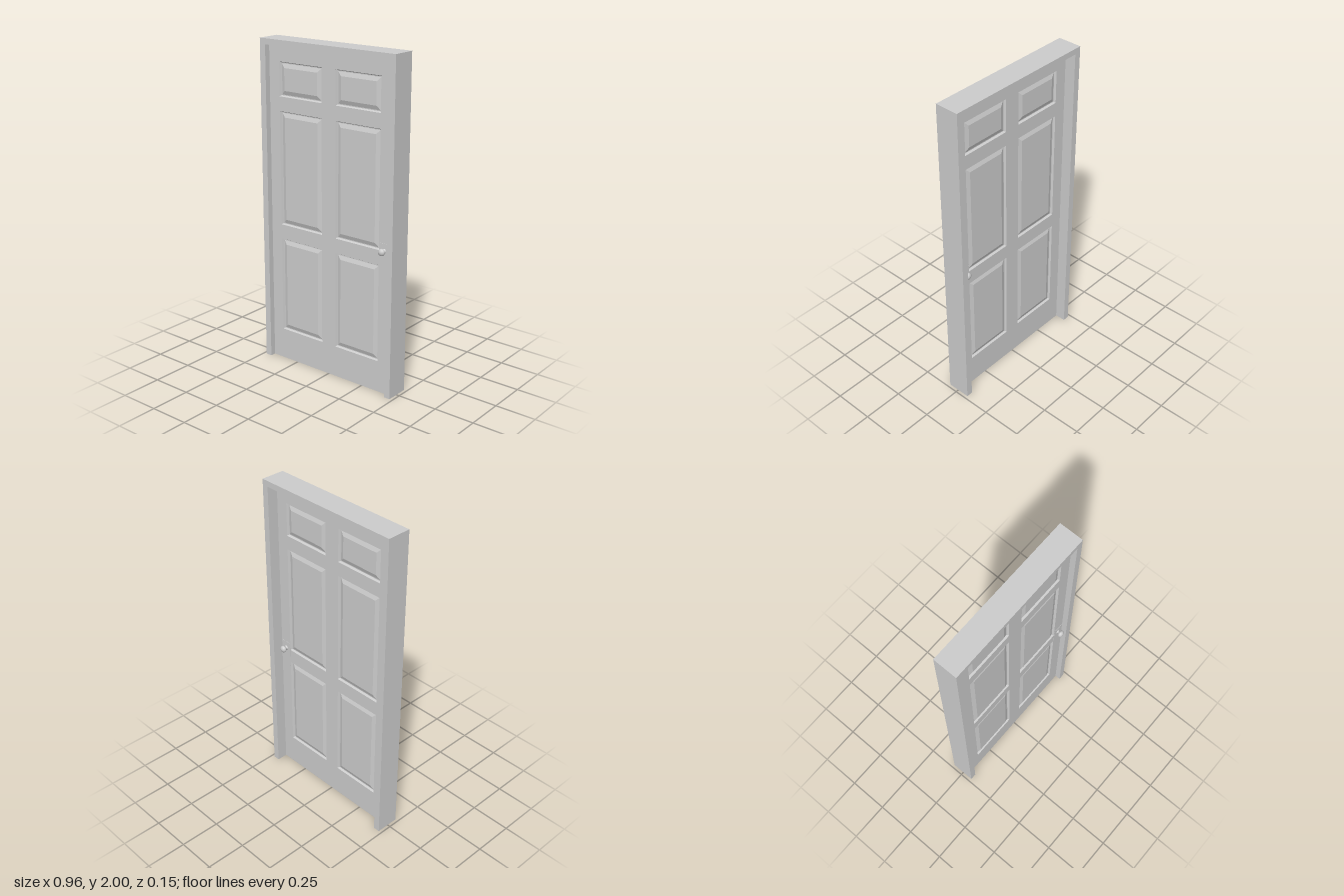
import * as THREE from 'three';

const material = new THREE.MeshStandardMaterial({ color: 0xcccccc });
const FRONT = 0.035, BACK = -0.01, MID = (FRONT + BACK) / 2, HALF = (FRONT - BACK) / 2;

function add(parent, name, geometry, x = 0, y = 0, z = 0) {
  const mesh = new THREE.Mesh(geometry, material);
  mesh.name = name;
  mesh.position.set(x, y, z);
  parent.add(mesh);
  return mesh;
}

const polygon = (pts) => pts.map(([x, y]) => new THREE.Vector2(x, y));

function extrude(shape, depth) {
  return new THREE.ExtrudeGeometry(shape, { depth, bevelEnabled: false });
}

// Raised panel: nested rectangles, each given as [inset, height], closed by a flat field
function raisedPanel(w, h) {
  const profile = [[0, 0], [0.006, -0.012], [0.011, -0.012], [0.035, -0.003]];
  const rings = profile.map(([inset, z]) => {
    const x = w / 2 - inset, y = h / 2 - inset;
    return [[-x, -y, z], [x, -y, z], [x, y, z], [-x, y, z]];
  });
  const pos = [];
  const quad = (a, b, c, d) => pos.push(...a, ...b, ...c, ...a, ...c, ...d);
  for (let r = 0; r < rings.length - 1; r++) {
    for (let i = 0; i < 4; i++) {
      const j = (i + 1) % 4;
      quad(rings[r][i], rings[r][j], rings[r + 1][j], rings[r + 1][i]);
    }
  }
  quad(...rings[rings.length - 1]);
  const geometry = new THREE.BufferGeometry();
  geometry.setAttribute('position', new THREE.Float32BufferAttribute(pos, 3));
  geometry.computeVertexNormals();
  return geometry;
}

// Round knob on a short neck, turned about its axis and pointing to +z
function knobGeometry() {
  const pts = [[0.015, 0], [0.015, 0.004], [0.009, 0.007], [0.009, 0.012], [0.016, 0.016],
    [0.021, 0.022], [0.0215, 0.027], [0.019, 0.034], [0.013, 0.039], [0.006, 0.0415], [0, 0.042]];
  return new THREE.LatheGeometry(polygon(pts), 28).rotateX(Math.PI / 2);
}

export function createModel() {
  const model = new THREE.Group();
  model.name = 'panelDoor';

  // Frame: two jambs and a head, open at the floor
  const frame = new THREE.Shape(polygon([
    [-0.48, 0], [-0.44, 0], [-0.44, 1.965], [0.44, 1.965],
    [0.44, 0], [0.48, 0], [0.48, 2], [-0.48, 2],
  ]));
  add(model, 'doorFrame', extrude(frame, 0.147), 0, 0, -0.077);

  // Six panel openings as [x, bottom, top]
  const panelWidth = 0.315, openings = [];
  for (const x of [-0.2075, 0.2075]) {
    for (const [y0, y1] of [[0.195, 0.793], [0.883, 1.58], [1.667, 1.87]]) openings.push([x, y0, y1]);
  }

  // Door slab with the openings cut out
  const slab = new THREE.Shape(polygon([[-0.44, 0], [0.44, 0], [0.44, 1.965], [-0.44, 1.965]]));
  for (const [x, y0, y1] of openings) {
    const a = x - panelWidth / 2, b = x + panelWidth / 2;
    slab.holes.push(new THREE.Path(polygon([[a, y0], [a, y1], [b, y1], [b, y0]])));
  }
  add(model, 'doorSlab', extrude(slab, HALF * 2), 0, 0, BACK);

  // Panels, lock plate and knob on both faces
  for (const side of [1, -1]) {
    const face = new THREE.Group();
    face.name = side > 0 ? 'frontFace' : 'backFace';
    face.position.z = MID;
    face.rotation.y = side > 0 ? 0 : Math.PI;
    model.add(face);
    for (const [x, y0, y1] of openings) {
      add(face, 'raisedPanel', raisedPanel(panelWidth, y1 - y0), x, (y0 + y1) / 2, HALF);
    }
    add(face, 'lockPlate', new THREE.BoxGeometry(0.066, 0.17, 0.004), side * 0.4, 0.845, HALF);
    add(face, 'knob', knobGeometry(), side * 0.4, 0.885, HALF);
  }
  return model;
}
